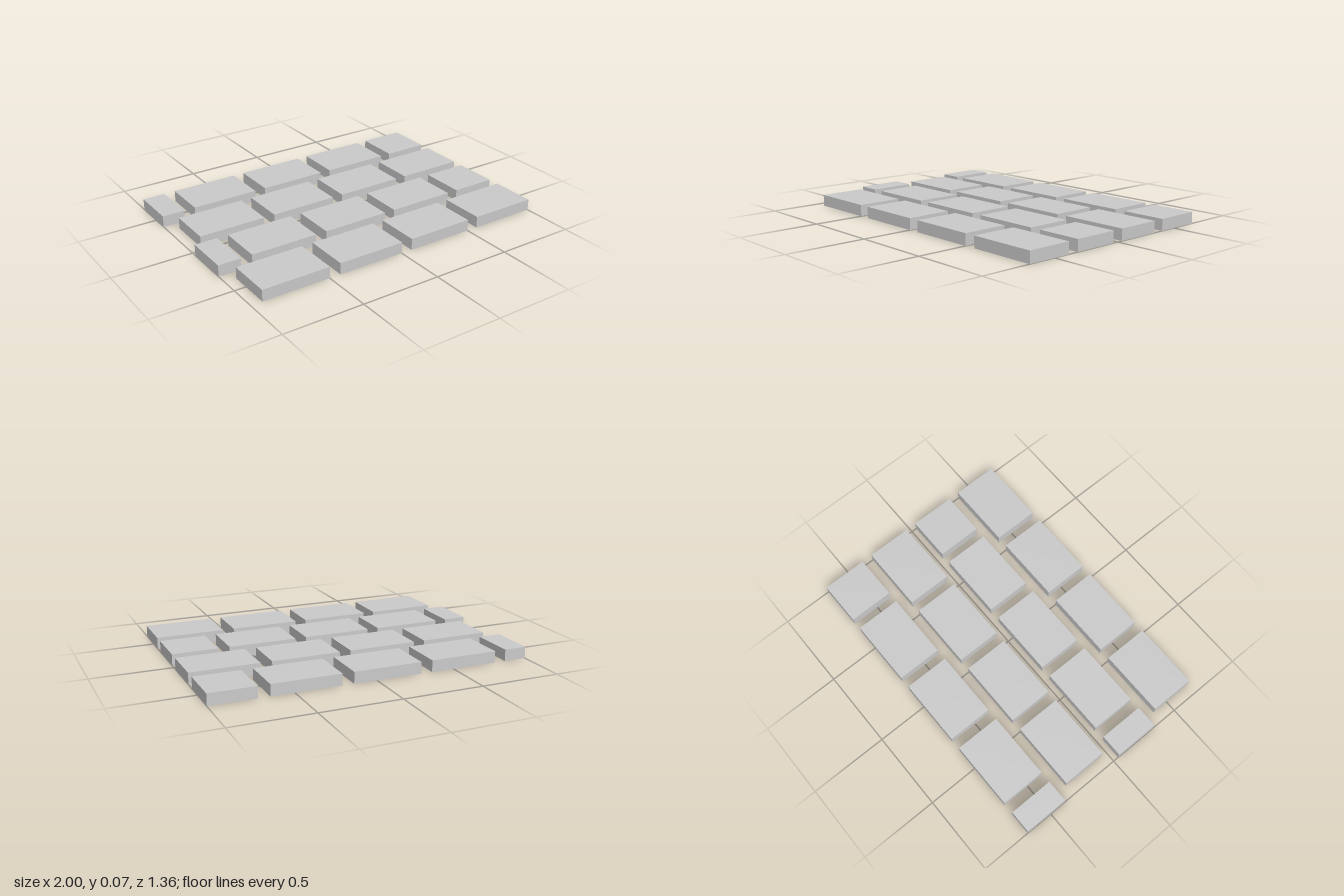
import * as THREE from 'three';

// Everything sits on a module equal to the joint width
const U = 1 / 14;
const STONE_DEPTH = 4, JOINT = 1, THICKNESS = 1;

// Start and end of each stone along x, in modules
const CUT_ROW = [[-14, -12], [-11, -5], [-4, 2], [3, 9], [10, 14]];
const WHOLE_ROW = [[-13, -7], [-6, 0], [1, 7], [8, 14]];

export function createModel() {
  const group = new THREE.Group();
  group.name = 'brickPaving';
  const material = new THREE.MeshStandardMaterial({ color: 0xcccccc, flatShading: true });

  // Four courses in running bond, from back to front
  for (let r = 0; r < 4; r++) {
    const course = new THREE.Group();
    course.name = `course${r + 1}`;
    course.position.z = (r - 1.5) * (STONE_DEPTH + JOINT) * U;

    for (const [x0, x1] of r % 2 ? WHOLE_ROW : CUT_ROW) {
      const stone = new THREE.Mesh(
        new THREE.BoxGeometry((x1 - x0) * U, THICKNESS * U, STONE_DEPTH * U), material);
      stone.name = x1 - x0 < 6 ? 'cutPavingStone' : 'pavingStone';
      stone.position.set((x0 + x1) / 2 * U, THICKNESS * U / 2, 0);
      course.add(stone);
    }
    group.add(course);
  }
  return group;
}
